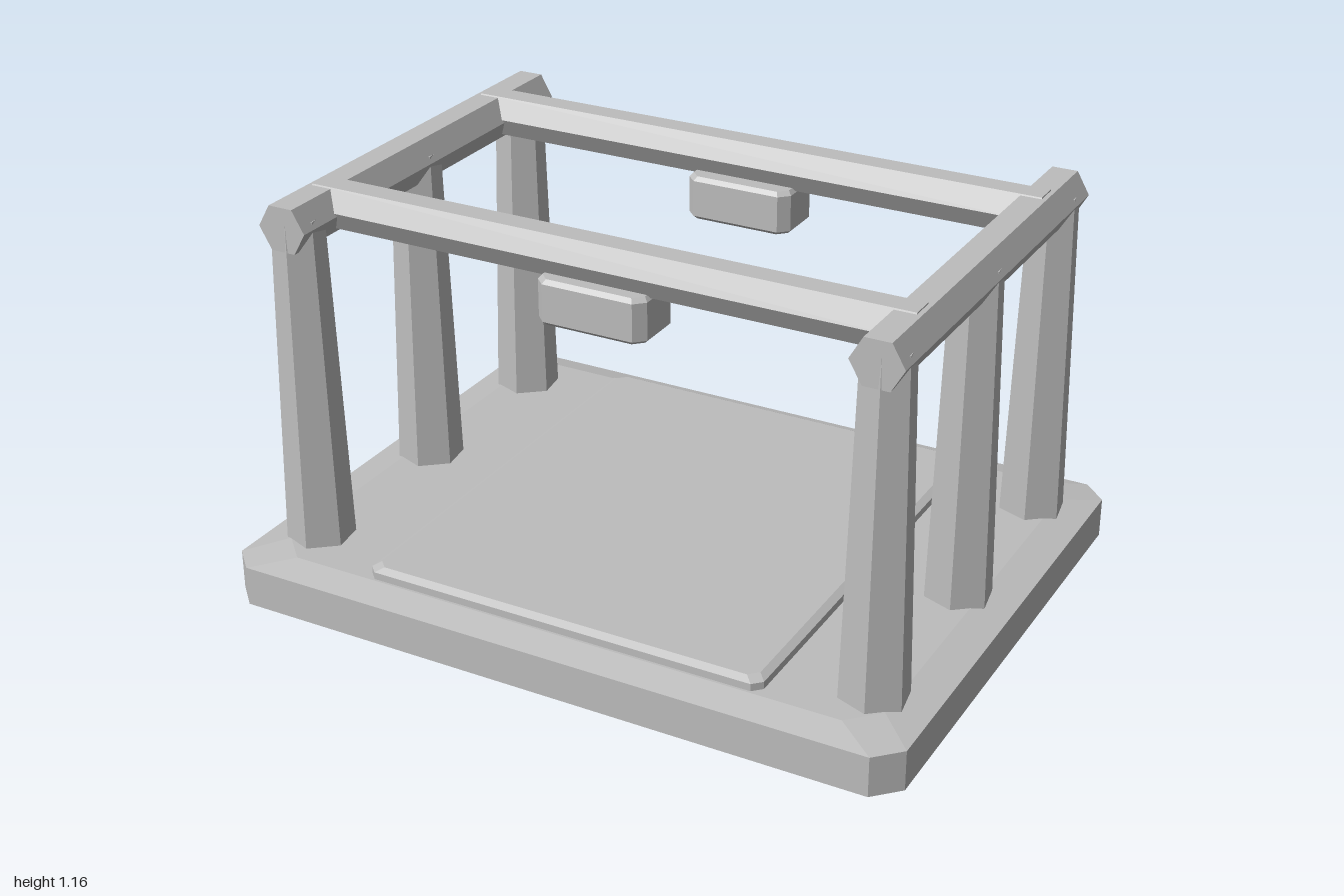
import * as THREE from 'three';

const grey = new THREE.MeshStandardMaterial({ color: 0xbdbdbd });
grey.name = 'concrete grey';
grey.flatShading = true;

function add(parent, name, geometry, x = 0, y = 0, z = 0) {
  const mesh = new THREE.Mesh(geometry, grey);
  mesh.name = name;
  mesh.position.set(x, y, z);
  parent.add(mesh);
  return mesh;
}

// Slab with cut corners, lofted through rings of [y, halfX, halfZ, cornerCut]
function cutSlab(rings) {
  const pos = [];
  const loops = rings.map(([y, a, b, c]) => [
    [a, y, b - c], [a, y, c - b], [a - c, y, -b], [c - a, y, -b],
    [-a, y, c - b], [-a, y, b - c], [c - a, y, b], [a - c, y, b],
  ]);
  const tri = (p, q, r) => pos.push(...p, ...q, ...r);
  for (let i = 0; i < loops.length - 1; i++) {
    const lo = loops[i], hi = loops[i + 1];
    for (let k = 0; k < 8; k++) {
      const n = (k + 1) % 8;
      tri(lo[k], lo[n], hi[n]);
      tri(lo[k], hi[n], hi[k]);
    }
  }
  const bottom = loops[0], top = loops[loops.length - 1];
  for (let k = 1; k < 7; k++) {
    tri(top[0], top[k], top[k + 1]);
    tri(bottom[0], bottom[k + 1], bottom[k]);
  }
  const g = new THREE.BufferGeometry();
  g.setAttribute('position', new THREE.Float32BufferAttribute(pos, 3));
  g.computeVertexNormals();
  return g;
}

// Six-sided bar with a flat top, running along z
function hexBar(radius, length) {
  return new THREE.CylinderGeometry(radius, radius, length, 6, 1, false, Math.PI / 6)
    .rotateX(Math.PI / 2);
}

export function createModel() {
  const model = new THREE.Group();
  model.name = 'pavilion';

  // Bevelled foundation and raised floor panel
  add(model, 'foundation', cutSlab([
    [0, 0.955, 0.735, 0.065],
    [0.025, 1, 0.773, 0.068],
    [0.14, 1, 0.773, 0.068],
    [0.161, 0.9, 0.69, 0.08],
  ]));
  add(model, 'floorPanel', cutSlab([
    [0.15, 0.592, 0.683, 0.025],
    [0.182, 0.592, 0.683, 0.025],
    [0.193, 0.572, 0.663, 0.025],
  ]));

  for (const side of [-1, 1]) {
    // Tapered six-sided columns, turned slightly
    for (const z of [-0.546, 0, 0.546]) {
      const column = new THREE.CylinderGeometry(0.07, 0.095, 0.96, 6, 1, false, 0.16);
      add(model, 'column', column, side * 0.842, 0.635, z);
    }

    // Bar across the column tops
    const bar = hexBar(0.072, 1.23);
    bar.rotateZ(Math.PI / 6 * barTurn(bar));
    add(model, 'sideBeam', bar, side * 0.842, 1.097, 0);

    // Cross beam and the lamp hung below it
    const cross = hexBar(0.066, 1.73);
    cross.rotateZ(Math.PI / 6 * barTurn(cross)).rotateY(Math.PI / 2);
    add(model, 'crossBeam', cross, 0, 1.106, side * 0.41);
    add(model, 'hangingLamp', cutSlab([
      [0.932, 0.148, 0.078, 0.025],
      [0.942, 0.158, 0.088, 0.028],
      [1.046, 0.158, 0.088, 0.028],
      [1.058, 0.148, 0.078, 0.025],
    ]), 0, 0, side * 0.405);
  }
  return model;
}

// Returns 1 when a bar has an edge on top and needs turning to lie flat
function barTurn(geometry) {
  geometry.computeBoundingBox();
  const { min, max } = geometry.boundingBox;
  return max.y - min.y > max.x - min.x ? 1 : 0;
}
